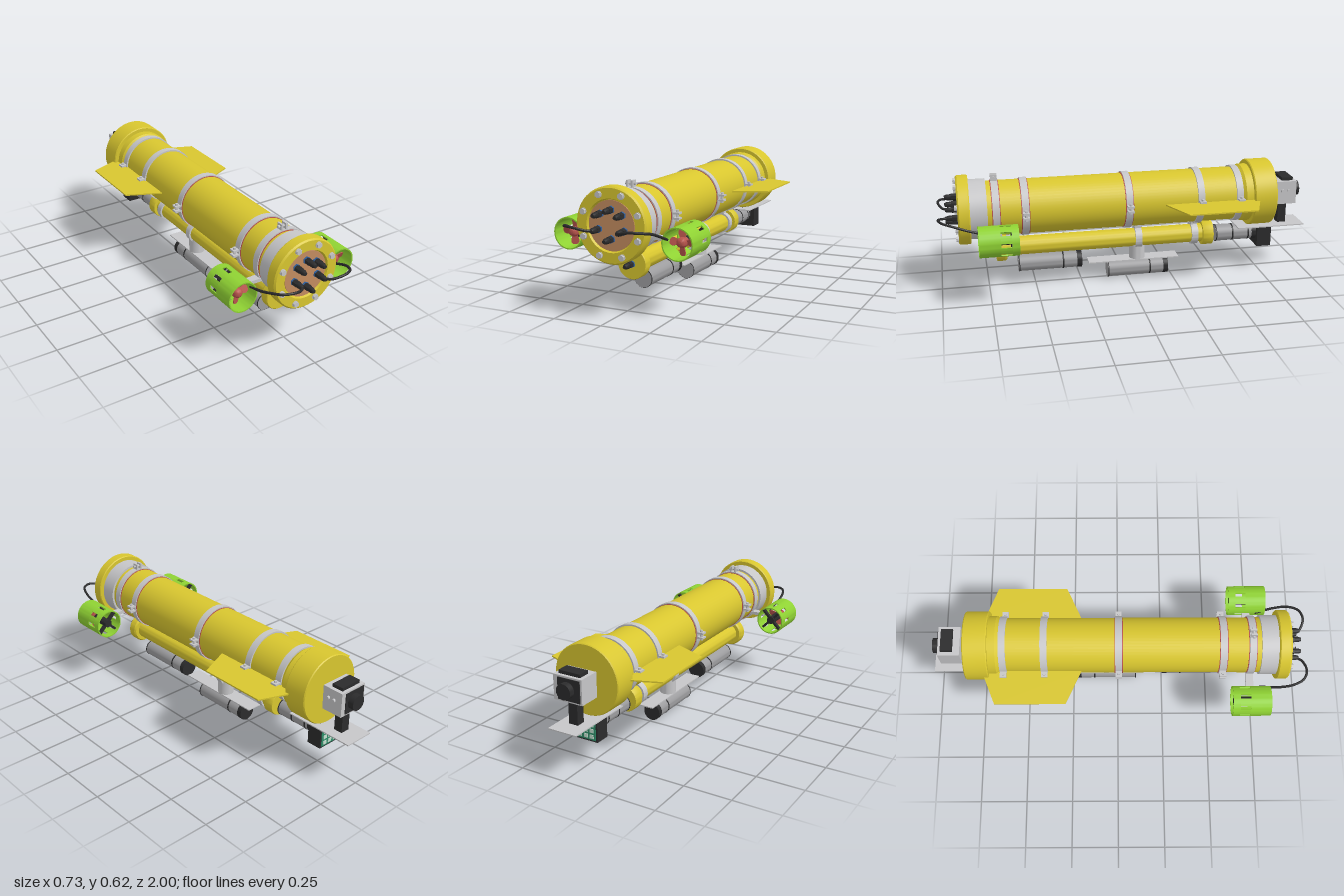
import * as THREE from 'three';
import { toCreasedNormals } from 'three/addons/utils/BufferGeometryUtils.js';

const mat = (name, color, side = THREE.FrontSide) => {
  const m = new THREE.MeshStandardMaterial({ color, side });
  m.name = name;
  return m;
};

export function createModel() {
  const yellow = mat('hull yellow', 0xd8c62f);
  const silver = mat('light metal', 0xc6c6c8);
  const grey = mat('canister grey', 0x9d9d9f);
  const black = mat('black', 0x2b2b2c);
  const green = mat('duct green', 0x8fd233);
  const red = mat('propeller red', 0xb8544c);
  const copper = mat('copper', 0xc48c60);
  const blue = mat('gasket blue', 0x2f609f);
  const board = mat('board green', 0x2f8f6a);
  const lamp = mat('lamp pale', 0xc4e0d0);

  const model = new THREE.Group();
  model.name = 'underwaterVehicle';
  const HULL_Y = 0.443, TUBE_Y = 0.222;

  const add = (parent, name, geometry, material, x = 0, y = 0, z = 0) => {
    const mesh = new THREE.Mesh(toCreasedNormals(geometry, 0.6), material);
    mesh.name = name;
    mesh.position.set(x, y, z);
    parent.add(mesh);
    return mesh;
  };
  const group = (parent, name, x = 0, y = 0, z = 0) => {
    const g = new THREE.Group();
    g.name = name;
    g.position.set(x, y, z);
    parent.add(g);
    return g;
  };
  const box = (parent, name, m, w, h, d, x, y, z) =>
    add(parent, name, new THREE.BoxGeometry(w, h, d), m, x, y, z);
  // Turned part along z; profile is [radius, z], rising on its outside
  const turn = (parent, name, m, profile, x = 0, y = 0, z = 0, start = 0, sweep = Math.PI * 2, seg = 56) => {
    const g = new THREE.LatheGeometry(profile.map(p => new THREE.Vector2(...p)), seg, start, sweep);
    return add(parent, name, g.rotateX(Math.PI / 2), m, x, y, z);
  };
  const rod = (parent, name, m, r, z0, z1, x, y, seg = 40) =>
    add(parent, name, new THREE.CylinderGeometry(r, r, z1 - z0, seg).rotateX(Math.PI / 2), m, x, y, (z0 + z1) / 2);
  const ring = (inner, outer, z0, z1) =>
    [[inner, z0], [outer, z0], [outer, z1], [inner, z1], [inner, z0]];

  // Main hull
  const hull = group(model, 'hull', 0, HULL_Y, 0);
  rod(hull, 'hullTube', yellow, 0.145, -0.66, 0.84, 0, 0, 56);
  turn(hull, 'frontCollar', silver, ring(0.14, 0.157, 0.745, 0.835));
  turn(hull, 'frontFlange', yellow, [[0.1, 0.833], [0.178, 0.833], [0.182, 0.838], [0.182, 0.888],
    [0.175, 0.896], [0.126, 0.896], [0.12, 0.884], [0, 0.884]]);
  rod(hull, 'frontPlate', copper, 0.119, 0.88, 0.888, 0, 0, 56);
  turn(hull, 'rearCap', yellow, [[0, -0.8], [0.177, -0.8], [0.181, -0.795], [0.181, -0.68],
    [0.177, -0.675], [0.157, -0.675], [0.157, -0.635], [0.145, -0.62]]);
  for (let i = 0; i < 8; i++) {
    const a = (i + 0.5) * Math.PI / 4;
    const x = 0.153 * Math.cos(a), y = 0.153 * Math.sin(a);
    rod(hull, 'flangeWasher', silver, 0.016, 0.895, 0.9, x, y, 20);
    rod(hull, 'flangeBolt', silver, 0.015, 0.9, 0.91, x, y, 6);
  }

  // Clamp bands with split lugs; the foremost is turned upright
  for (const [z, upright, lined] of [[0.7, true, true], [0.55, false, true], [0.005, false, true],
    [-0.385, false, false], [-0.6, false, false]]) {
    const band = group(hull, 'hullClamp', 0, 0, z);
    turn(band, 'clampBand', silver, ring(0.14, 0.153, -0.018, 0.018));
    if (lined) turn(band, 'clampLiner', red, ring(0.14, 0.1475, -0.022, 0.022));
    for (const s of [-1, 1]) {
      for (const t of [-1, 1]) box(band, 'clampLug', silver, 0.038, 0.01, 0.034, s * 0.165, t * 0.013, 0);
      add(band, 'clampBolt', new THREE.CylinderGeometry(0.008, 0.008, 0.056, 6), silver, s * 0.168, 0, 0);
    }
    if (upright) band.rotation.z = Math.PI / 2;
  }

  // Side fins
  for (const s of [-1, 1]) {
    const shape = new THREE.Shape([[0.13, 0.185], [0.145, 0.19], [0.325, 0.272], [0.325, 0.642], [0.18, 0.7], [0.13, 0.7]]
      .map(([x, y]) => new THREE.Vector2(s * x, y)));
    const g = new THREE.ExtrudeGeometry(shape, { depth: 0.007, bevelEnabled: false });
    add(hull, 'fin', g.rotateX(-Math.PI / 2), yellow, 0, -0.0035, 0);
  }

  // Cable connectors
  const connector = (x, y, z) => {
    const c = group(model, 'connector', x, y, z);
    rod(c, 'connectorGasket', blue, 0.019, -0.004, 0.008, 0, 0, 6);
    rod(c, 'connectorNut', black, 0.017, 0.008, 0.035, 0, 0, 6);
    turn(c, 'connectorTip', black, [[0.014, 0.03], [0.014, 0.055], [0.009, 0.07], [0, 0.07]], 0, 0, 0, 0, Math.PI * 2, 16);
  };
  for (const [x, y] of [[0, 0.517], [-0.057, 0.495], [0.057, 0.495], [-0.067, 0.423], [0.067, 0.423], [0, 0.381]])
    connector(x, y, 0.888);
  connector(0, TUBE_Y, 0.705);

  // Thrusters, their brackets and cables
  const blade = new THREE.Shape();
  blade.moveTo(-0.009, 0.012);
  blade.bezierCurveTo(-0.012, 0.03, -0.028, 0.045, -0.014, 0.062);
  blade.quadraticCurveTo(0, 0.068, 0.014, 0.062);
  blade.bezierCurveTo(0.028, 0.045, 0.012, 0.03, 0.009, 0.012);
  for (const s of [-1, 1]) {
    const t = group(model, 'thruster', s * 0.288, 0.364, 0);
    turn(t, 'ductRear', green, ring(0.073, 0.079, 0.603, 0.64));
    turn(t, 'ductFront', green, ring(0.073, 0.079, 0.695, 0.803));
    for (let i = 0; i < 8; i++) {
      const a = (i + 0.5) * Math.PI / 4;
      const post = turn(t, 'ductPost', green, ring(0.073, 0.079, 0.64, 0.695), 0, 0, 0, a - 0.25, 0.5, 6);
      // cheeks of the slot
      for (const e of [-0.25, 0.25]) {
        const cheek = box(post, 'slotCheek', green, 0.0058, 0.002, 0.055, 0.076 * Math.sin(a + e * 0.98), -0.076 * Math.cos(a + e * 0.98), 0.6675);
        cheek.rotation.z = a + e * 0.98 - Math.PI / 2;
      }
    }
    for (let i = 0; i < 2; i++) {
      const strut = box(t, 'strut', black, 0.148, 0.013, 0.02, 0, 0, 0.63);
      strut.rotation.z = Math.PI / 4 + i * Math.PI / 2;
    }
    rod(t, 'motor', black, 0.022, 0.612, 0.73, 0, 0, 24);
    turn(t, 'propellerHub', red, [[0, 0.725], [0.025, 0.725], [0.025, 0.755], [0.02, 0.768], [0.01, 0.776], [0, 0.778]], 0, 0, 0, 0, Math.PI * 2, 24);
    for (let i = 0; i < 4; i++) {
      const g = new THREE.ExtrudeGeometry(blade, { depth: 0.004, bevelEnabled: false, curveSegments: 6 });
      g.translate(0, 0, -0.002).rotateY(s * 0.4).rotateZ(i * Math.PI / 2);
      add(t, 'propellerBlade', g, red, 0, 0, 0.742);
    }
    box(model, 'thrusterBracket', silver, 0.085, 0.018, 0.04, s * 0.169, 0.364, 0.7);
    const path = new THREE.CatmullRomCurve3([[0.067, 0.423, 0.94], [0.085, 0.428, 0.972], [0.145, 0.443, 0.994],
      [0.195, 0.442, 0.975], [0.222, 0.43, 0.92], [0.226, 0.405, 0.85], [0.212, 0.37, 0.75]]
      .map(([x, y, z]) => new THREE.Vector3(s * x, y, z)));
    add(model, 'thrusterCable', new THREE.TubeGeometry(path, 40, 0.0065, 10), black);
  }

  // Lower tube with end caps and clamps
  const lower = group(model, 'lowerTube', 0, TUBE_Y, 0);
  rod(lower, 'tube', yellow, 0.05, -0.43, 0.66, 0, 0);
  turn(lower, 'frontCap', yellow, [[0.04, 0.65], [0.07, 0.65], [0.077, 0.66], [0.077, 0.7], [0.074, 0.704], [0, 0.704]]);
  turn(lower, 'rearCap', yellow, [[0, -0.483], [0.066, -0.483], [0.068, -0.48], [0.068, -0.428], [0.066, -0.424], [0.04, -0.424]]);
  for (const z of [-0.065, -0.38]) {
    turn(lower, 'tubeClamp', silver, ring(0.045, 0.06, z - 0.018, z + 0.018));
    box(lower, 'tubeHanger', silver, 0.04, 0.035, 0.034, 0, 0.068, z);
  }

  // Grey canisters with black rings and rear ends
  const canister = (name, y, z0, z1, rings) => {
    const c = group(model, name, 0, y, 0);
    rod(c, 'canisterBody', grey, 0.046, z0, z1, 0, 0);
    turn(c, 'canisterFrontRim', black, ring(0.044, 0.0475, z1 - 0.006, z1 - 0.001));
    rod(c, 'canisterEnd', black, 0.0475, z0 - 0.002, z0 + 0.025, 0, 0);
    for (const z of rings) turn(c, 'canisterRing', black, ring(0.04, 0.0475, z - 0.004, z + 0.004));
  };
  canister('frontCanister', 0.122, 0.25, 0.59, [0.35]);
  canister('bottomCanister', 0.05, -0.23, 0.105, [-0.13]);
  canister('rearCanister', 0.213, -0.735, -0.504, [-0.6, -0.69]);
  add(model, 'canisterPost', new THREE.CylinderGeometry(0.043, 0.043, 0.085, 32), silver, 0, 0.145, -0.063);
  box(model, 'canisterPlate', silver, 0.084, 0.006, 0.5, 0, 0.103, -0.04);

  // Rear shelf
  box(model, 'rearShelf', silver, 0.16, 0.006, 0.38, 0, 0.256, -0.81);

  // Lamp box with a three by three array facing back
  const light = group(model, 'lampBox', 0, 0.196, -0.775);
  box(light, 'lampHousing', black, 0.13, 0.116, 0.08, 0, 0, 0);
  box(light, 'lampBoard', board, 0.112, 0.1, 0.004, 0, 0, -0.041);
  for (let i = -1; i < 2; i++) for (let j = -1; j < 2; j++)
    box(light, 'lamp', lamp, 0.022, 0.02, 0.004, i * 0.034, j * 0.031, -0.044);

  // Camera on its post
  const cam = group(model, 'camera', 0, 0.448, -0.885);
  box(cam, 'cameraBody', silver, 0.16, 0.128, 0.115, 0, 0, 0);
  box(cam, 'cameraFace', black, 0.125, 0.11, 0.006, -0.008, 0, -0.059);
  rod(cam, 'cameraLens', black, 0.04, -0.092, -0.058, 0, 0, 32);
  box(cam, 'cameraTop', black, 0.12, 0.018, 0.062, 0, 0.072, -0.01);
  rod(cam, 'cameraPlug', black, 0.014, 0.05, 0.09, 0, 0, 16);
  for (const [y, z] of [[0.012, 0.022], [0.012, -0.012]])
    add(cam, 'cameraButton', new THREE.CylinderGeometry(0.009, 0.009, 0.012, 16).rotateZ(Math.PI / 2), silver, 0.085, y, z);
  box(model, 'cameraPost', black, 0.05, 0.13, 0.047, 0, 0.322, -0.887);

  return model;
}
